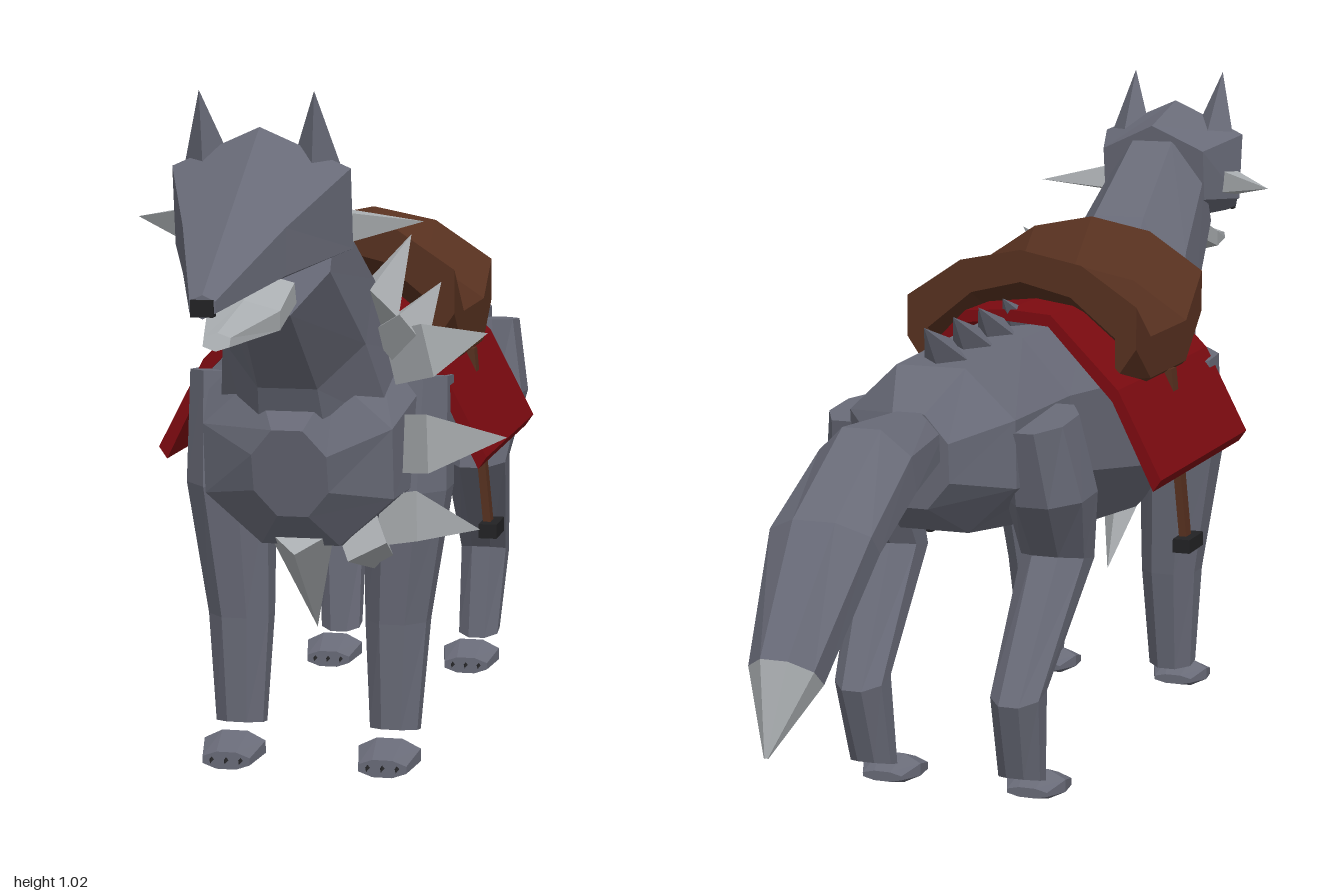
import * as THREE from 'three';

const mat = (name, color) => new THREE.MeshStandardMaterial({ name, color });

// Skins a list of closed rings (same even point count) and caps both ends, flat shaded
function skin(rings) {
  const n = rings[0].length, tris = [];
  const quad = (a, b, c, d) => tris.push([a, b, c], [a, c, d]);
  for (let k = 0; k < rings.length - 1; k++) {
    for (let i = 0; i < n; i++) {
      const j = (i + 1) % n;
      quad(rings[k][i], rings[k][j], rings[k + 1][j], rings[k + 1][i]);
    }
  }
  const first = rings[0], last = rings[rings.length - 1];
  for (let i = 0; i < n / 2 - 1; i++) {
    quad(first[n - 1 - i], first[n - 2 - i], first[i + 1], first[i]);
    quad(last[i], last[i + 1], last[n - 2 - i], last[n - 1 - i]);
  }
  // Turn every face outward
  let volume = 0;
  const cross = new THREE.Vector3();
  for (const [a, b, c] of tris) volume += a.dot(cross.crossVectors(b, c));
  if (volume < 0) tris.forEach((t) => t.reverse());
  const geo = new THREE.BufferGeometry().setFromPoints(tris.flat());
  geo.computeVertexNormals();
  return geo;
}

// Sections: [x, half width, z and y of one edge, z and y of the opposite edge]
function limb(sections, sides = 8, turn = Math.PI / 8) {
  const wide = turn ? 1 / Math.cos(Math.PI / sides) : 1;
  return skin(sections.map(([x, rx, z1, y1, z2, y2]) =>
    Array.from({ length: sides }, (_, i) => {
      const a = (i / sides) * Math.PI * 2 + turn;
      const c = Math.cos(a) * rx * wide, s = Math.sin(a) * wide / 2;
      return new THREE.Vector3(x + c, (y1 + y2) / 2 + s * (y1 - y2), (z1 + z2) / 2 + s * (z1 - z2));
    })));
}

// Arch ring at z, from half a profile that runs from the hem to the middle
function arch(half, z, inset, drop) {
  const outer = [...half, ...half.slice(0, -1).reverse().map(([x, y]) => [-x, y])];
  const inner = outer.map(([x, y]) => [x * inset, y - drop]).reverse();
  return [...outer, ...inner].map(([x, y]) => new THREE.Vector3(x, y, z));
}

// Four-sided spike from a base point to a tip
function spike(base, tip, radius, sides = 4) {
  const b = new THREE.Vector3(...base), t = new THREE.Vector3(...tip);
  const dir = t.clone().sub(b);
  const geo = new THREE.ConeGeometry(radius, dir.length(), sides).toNonIndexed();
  geo.applyQuaternion(new THREE.Quaternion().setFromUnitVectors(new THREE.Vector3(0, 1, 0), dir.normalize()));
  geo.translate(...b.add(t).multiplyScalar(0.5).toArray());
  geo.computeVertexNormals();
  return geo;
}

export function createModel() {
  const model = new THREE.Group();
  model.name = 'saddledWolf';
  const fur = mat('greyFur', 0x686a77);
  const pale = mat('paleFur', 0xa9adb0);
  const red = mat('redCloth', 0x7c0a10);
  const leather = mat('brownLeather', 0x56301f);
  const black = mat('black', 0x222224);
  const add = (name, geo, material) => {
    const mesh = new THREE.Mesh(geo, material);
    mesh.name = name;
    model.add(mesh);
    return mesh;
  };
  const box = (name, size, at, material) => {
    const mesh = add(name, new THREE.BoxGeometry(...size), material);
    mesh.position.set(...at);
    return mesh;
  };

  // Trunk, neck and head
  add('body', limb([
    [0, 0.055, 0.535, 0.53, 0.50, 0.40],
    [0, 0.14, 0.48, 0.60, 0.45, 0.35],
    [0, 0.17, 0.30, 0.70, 0.28, 0.33],
    [0, 0.16, 0.05, 0.69, 0.05, 0.35],
    [0, 0.13, -0.20, 0.685, -0.20, 0.40],
    [0, 0.13, -0.43, 0.675, -0.42, 0.43],
    [0, 0.06, -0.515, 0.62, -0.505, 0.48],
  ]), fur);
  add('neck', limb([
    [0, 0.085, 0.56, 0.91, 0.66, 0.71],
    [0, 0.105, 0.39, 0.80, 0.53, 0.59],
    [0, 0.13, 0.25, 0.69, 0.47, 0.45],
  ]), fur);
  add('head', limb([
    [0, 0.09, 0.56, 0.925, 0.58, 0.78],
    [0, 0.125, 0.685, 0.955, 0.66, 0.765],
    [0, 0.07, 0.83, 0.87, 0.83, 0.76],
    [0, 0.017, 0.995, 0.772, 0.995, 0.745],
  ], 6, Math.PI / 6).translate(0, 0, 0), fur);
  add('jaw', limb([
    [0, 0.05, 0.70, 0.77, 0.68, 0.72],
    [0, 0.05, 0.78, 0.74, 0.78, 0.695],
    [0, 0.018, 0.92, 0.715, 0.93, 0.695],
  ], 6, Math.PI / 6), pale);
  box('nose', [0.03, 0.022, 0.016], [0, 0.757, 0.992], black);

  // Tail with a pale tip
  add('tail', limb([
    [0, 0.04, -0.47, 0.62, -0.47, 0.53],
    [0, 0.07, -0.68, 0.628, -0.64, 0.50],
    [0, 0.075, -0.84, 0.53, -0.77, 0.46],
    [0, 0.048, -0.97, 0.37, -0.895, 0.31],
  ]), fur);
  add('tailTip', limb([
    [0, 0.048, -0.97, 0.37, -0.895, 0.31],
    [0, 0.003, -1.0, 0.245, -0.995, 0.243],
  ]), pale);

  // Spines along the back
  for (const z of [-0.06, -0.16, -0.26, -0.37]) {
    add('backSpine', spike([0, 0.675, z], [0, 0.735, z - 0.085], 0.035), fur);
  }

  // Mane spikes on the centre line
  add('topManeSpike', spike([0, 0.75, 0.42], [0, 0.80, 0.27], 0.035), pale);
  add('bottomManeSpike', spike([0, 0.37, 0.45], [0, 0.205, 0.34], 0.05), pale);

  for (const s of [1, -1]) {
    // Ears, eyes and cheek tufts
    add('ear', spike([s * 0.075, 0.90, 0.665], [s * 0.08, 1.02, 0.705], 0.04), fur);
    add('eye', new THREE.OctahedronGeometry(0.008).translate(s * 0.068, 0.845, 0.79), black);
    add('cheekTuft', spike([s * 0.09, 0.835, 0.66], [s * 0.205, 0.835, 0.57], 0.034), pale);

    // Mane spikes sweeping outward and back: [base x, base y, tip x, tip y, radius]
    for (const [bx, by, tx, ty, r] of [
      [0.10, 0.69, 0.13, 0.79, 0.042], [0.14, 0.65, 0.175, 0.72, 0.045],
      [0.155, 0.63, 0.245, 0.645, 0.055], [0.155, 0.50, 0.275, 0.49, 0.06],
      [0.14, 0.39, 0.235, 0.35, 0.052], [0.085, 0.365, 0.12, 0.275, 0.045],
    ]) {
      add('maneSpike', spike([bx, by, 0.43], [tx, ty, 0.28], r), pale);
    }

    // Legs
    add('frontLeg', limb([
      [s * 0.145, 0.05, 0.37, 0.59, 0.25, 0.58],
      [s * 0.135, 0.062, 0.395, 0.42, 0.25, 0.42],
      [s * 0.12, 0.046, 0.375, 0.22, 0.275, 0.22],
      [s * 0.118, 0.036, 0.37, 0.06, 0.305, 0.05],
    ]), fur);
    add('hindLeg', limb([
      [s * 0.14, 0.045, -0.26, 0.60, -0.43, 0.585],
      [s * 0.145, 0.06, -0.235, 0.48, -0.40, 0.47],
      [s * 0.135, 0.05, -0.21, 0.36, -0.32, 0.38],
      [s * 0.125, 0.038, -0.36, 0.20, -0.445, 0.18],
      [s * 0.12, 0.033, -0.345, 0.045, -0.405, 0.06],
    ]), fur);

    // Paws with three claws each
    for (const [name, z] of [['frontPaw', 0.39], ['hindPaw', -0.30]]) {
      const x = s * 0.118;
      add(name, limb([
        [x, 0.032, z - 0.05, 0.03, z - 0.05, 0.015],
        [x, 0.047, z - 0.01, 0.05, z - 0.01, 0.004],
        [x, 0.036, z + 0.045, 0.03, z + 0.045, 0.004],
      ]), fur);
      for (const dx of [-0.022, 0, 0.022]) {
        add('claw', spike([x + dx, 0.022, z + 0.035], [x + dx, 0.014, z + 0.055], 0.007), black);
      }
    }

    // Stirrups
    const strap = box('stirrupStrap', [0.012, 0.28, 0.025], [s * 0.203, 0.46, 0.10], leather);
    strap.rotation.z = s * 0.1;
    box('stirrup', [0.028, 0.022, 0.07], [s * 0.221, 0.32, 0.10], black);
  }

  // Saddle cloth draped over the back
  const drape = [[0.25, 0.465], [0.18, 0.60], [0.07, 0.71], [0, 0.715]];
  add('saddleCloth', skin([0.315, -0.125].map((z) => arch(drape, z, 0.95, 0.018))), red);

  // Saddle with raised front and back
  const seat = [[0.19, 0.60], [0.19, 0.665], [0.10, 0.725], [0, 0.745]];
  add('saddle', skin([[0.255, 0.07], [0.175, 0], [0, 0], [-0.07, 0.055]].map(([z, lift]) =>
    arch(seat.map(([x, y]) => [x, y + lift]), z, 0.82, lift ? 0.05 : 0.03))), leather);

  return model;
}
